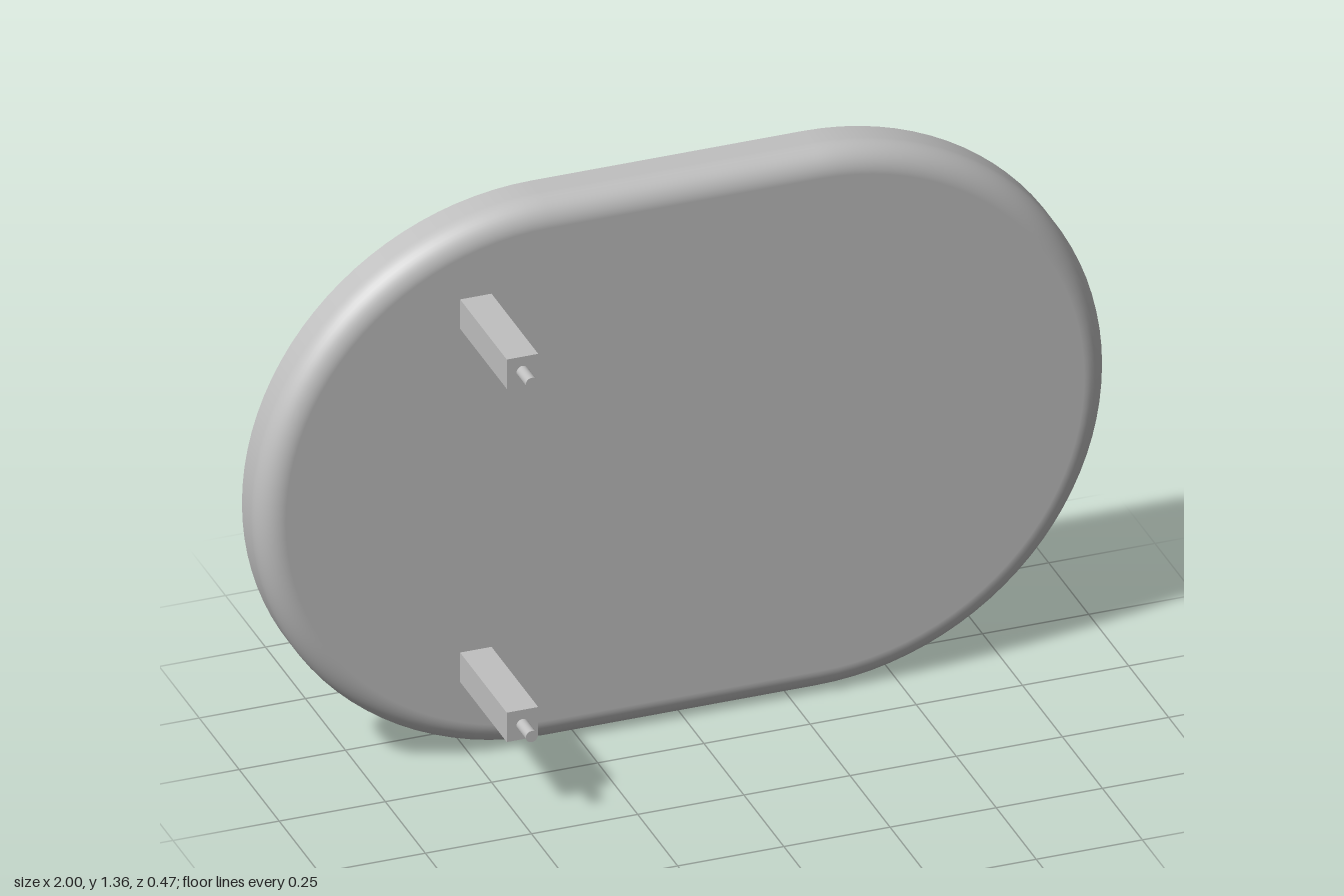
import * as THREE from 'three';

const HALF = 0.32;      // half length of the straight edges
const CY = 0.68;        // height of the centre
const RIM = 0.6;        // inner radius of the rim
const DISH = 0.597;     // radius of the round recess
const BACK = -0.233, FRONT = -0.117, FLOOR = -0.176, DISH_Z = -0.146;
const ROUND = 0.06;     // rounding of the front edge
const SEG = 48;         // segments per half turn

// Sweeps a profile of [radius, z] around a stadium (or a circle when half = 0).
// Each profile point may carry its own normal [nr, nz]; otherwise the band is flat.
function sweep(profile, half) {
  const pos = [], nor = [], idx = [];
  const row = 2 * (SEG + 1) + 1;
  const flat = profile.length === 2;
  for (const [r, z, nr, nz] of profile) {
    const dr = profile[1][0] - profile[0][0], dz = profile[1][1] - profile[0][1];
    const len = Math.hypot(dr, dz);
    const n = flat ? [-dz / len, dr / len] : [nr, nz];
    for (let j = 0; j < row; j++) {
      const k = j % (row - 1);
      const right = k <= SEG;
      const a = -Math.PI / 2 + Math.PI * (right ? k : k - 1) / SEG;
      const c = Math.cos(a), s = Math.sin(a);
      pos.push((right ? half : -half) + r * c, r * s, z);
      nor.push(n[0] * c, n[0] * s, n[1]);
    }
  }
  for (let i = 0; i < profile.length - 1; i++) {
    for (let j = 0; j < row - 1; j++) {
      const a = i * row + j, b = a + 1, c = a + row, d = c + 1;
      idx.push(a, c, b, b, c, d);
    }
  }
  const g = new THREE.BufferGeometry();
  g.setAttribute('position', new THREE.Float32BufferAttribute(pos, 3));
  g.setAttribute('normal', new THREE.Float32BufferAttribute(nor, 3));
  g.setIndex(idx);
  return g;
}

export function createModel() {
  const model = new THREE.Group();
  model.name = 'ovalCover';
  const grey = new THREE.MeshStandardMaterial({ color: 0xc0c0c0 });
  grey.name = 'grey';

  const add = (name, geometry, x, y, z) => {
    const mesh = new THREE.Mesh(geometry, grey);
    mesh.name = name;
    mesh.position.set(x, y, z);
    model.add(mesh);
  };

  // Front plate, rounded outer edge and side
  add('frontFace', sweep([[0, FRONT], [CY - ROUND, FRONT]], HALF), 0, CY, 0);
  const edge = [];
  for (let i = 0; i <= 10; i++) {
    const a = (i / 10) * Math.PI / 2, s = Math.sin(a), c = Math.cos(a);
    edge.push([CY - ROUND + ROUND * s, FRONT - ROUND + ROUND * c, s, c]);
  }
  edge.push([CY, BACK, 1, 0]);
  add('outerEdge', sweep(edge, HALF), 0, CY, 0);

  // Back rim and the wall inside it
  add('backRim', sweep([[CY, BACK], [RIM, BACK]], HALF), 0, CY, 0);
  add('innerWall', sweep([[RIM, BACK], [RIM, FLOOR]], HALF), 0, CY, 0);

  // Recessed floor with a round opening
  const floor = new THREE.Shape();
  floor.absarc(HALF, 0, RIM, -Math.PI / 2, Math.PI / 2, false);
  floor.absarc(-HALF, 0, RIM, Math.PI / 2, Math.PI * 1.5, false);
  floor.closePath();
  floor.holes.push(new THREE.Path().absarc(0, 0, DISH, 0, Math.PI * 2, true));
  add('recessFloor', new THREE.ShapeGeometry(floor, SEG).rotateY(Math.PI), 0, CY, FLOOR);

  // Deeper round recess
  add('dishWall', sweep([[DISH, FLOOR], [DISH, DISH_Z]], 0), 0, CY, 0);
  add('dishFloor', sweep([[DISH, DISH_Z], [0, DISH_Z]], 0), 0, CY, 0);

  // Two square posts with round pins on the front
  for (const [side, dir] of [['upper', 1], ['lower', -1]]) {
    const y = CY + dir * 0.445;
    const postEnd = 0.175, pinEnd = 0.233;
    add(side + 'Post', new THREE.BoxGeometry(0.074, 0.074, postEnd - FRONT), -0.493, y, (postEnd + FRONT) / 2);
    const pin = new THREE.CylinderGeometry(0.014, 0.014, pinEnd - postEnd, 24).rotateX(Math.PI / 2);
    add(side + 'Pin', pin, -0.493, y, (pinEnd + postEnd) / 2);
  }
  return model;
}
